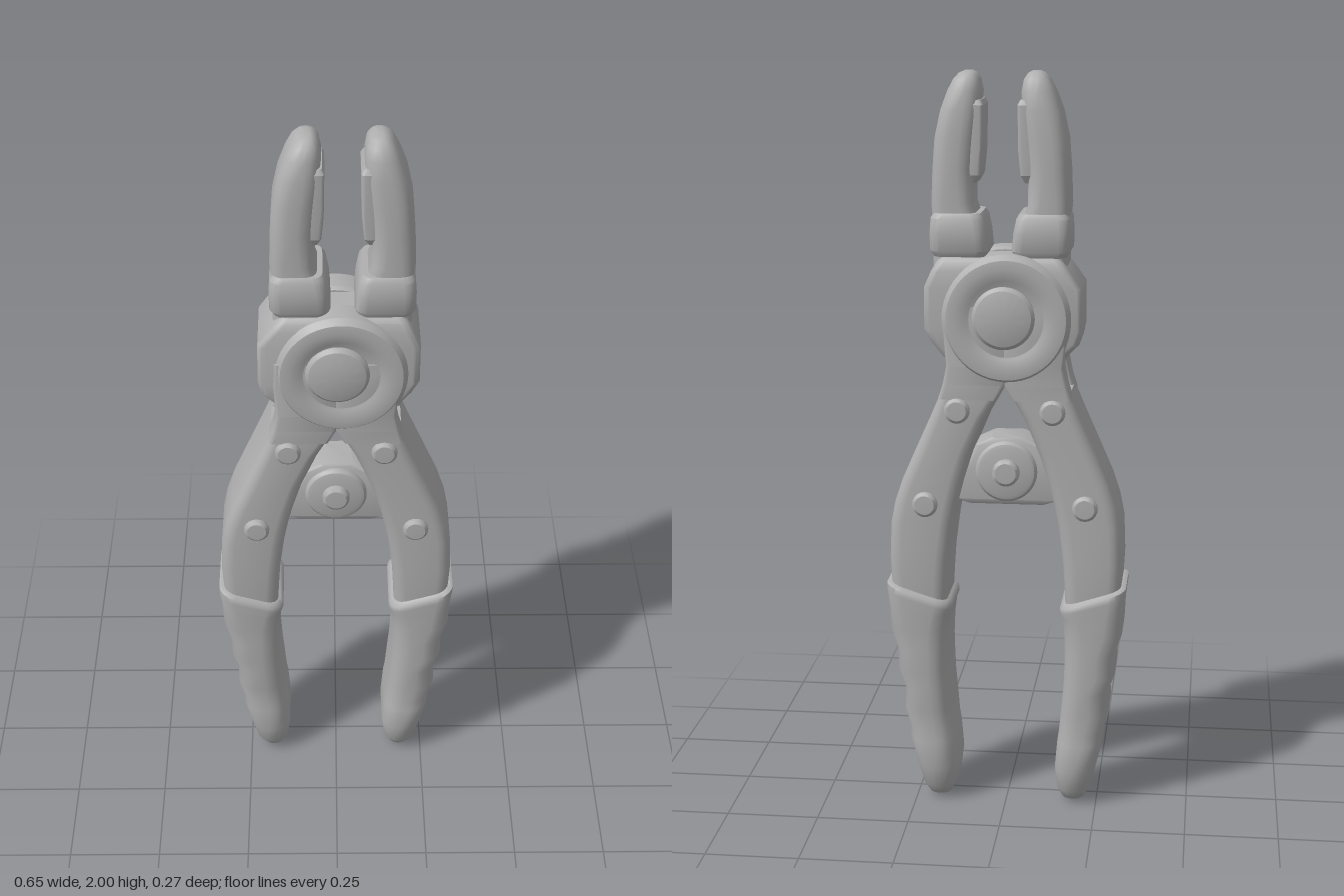
import * as THREE from 'three';
import { toCreasedNormals } from 'three/addons/utils/BufferGeometryUtils.js';

const steel = new THREE.MeshStandardMaterial({ color: 0xb0b0b0 });
steel.name = 'grey steel';

// Loft of rounded rectangles; each row is [y, xMin, xMax, halfDepth, cornerRadius, tilt]
function loft(rows, zMid = 0, crease = 0.6) {
  const pos = [], idx = [], steps = 4, n = 4 * (steps + 1);
  for (const [y, x0, x1, d, r, tilt = 0] of rows) {
    const cx = (x0 + x1) / 2, hx = (x1 - x0) / 2;
    const rad = Math.min(r, hx * 0.98, d * 0.98);
    for (let c = 0; c < 4; c++) {
      const sx = c === 0 || c === 3 ? 1 : -1, sz = c < 2 ? 1 : -1;
      for (let s = 0; s <= steps; s++) {
        const a = (c + s / steps) * Math.PI / 2;
        const dx = sx * (hx - rad) + Math.cos(a) * rad;
        pos.push(cx + dx, y + tilt * dx, zMid + sz * (d - rad) + Math.sin(a) * rad);
      }
    }
  }
  for (let k = 0; k < rows.length - 1; k++) for (let i = 0; i < n; i++) {
    const a = k * n + i, b = k * n + (i + 1) % n;
    idx.push(a, a + n, b, b, a + n, b + n);
  }
  const last = (rows.length - 1) * n;
  for (let i = 1; i < n - 1; i++) {
    idx.push(0, i, i + 1, last, last + i + 1, last + i);
  }
  const g = new THREE.BufferGeometry();
  g.setAttribute('position', new THREE.Float32BufferAttribute(pos, 3));
  g.setIndex(idx);
  return toCreasedNormals(g, crease);
}

// Reflects loft rows across the plane x = axis
const mirror = (rows, axis = 0) =>
  rows.map(([y, a, b, d, r, t = 0]) => [y, 2 * axis - b, 2 * axis - a, d, r, -t]);

// Turned part lying along z; profile is [radius, z] from back to front
function turned(profile, x, y, segments = 40) {
  const g = new THREE.LatheGeometry(profile.map(p => new THREE.Vector2(...p)), segments);
  g.rotateX(Math.PI / 2);
  const out = toCreasedNormals(g, 0.5);
  out.translate(x, y, 0);
  return out;
}
const symmetric = half => [...half.map(([r, z]) => [r, -z]), ...half.slice().reverse()];

const ARM = [
  [0.5, -0.305, -0.165, 0.1, 0.035], [0.62, -0.312, -0.16, 0.108, 0.035],
  [0.7, -0.316, -0.155, 0.11, 0.035], [0.8, -0.312, -0.142, 0.11, 0.035],
  [0.86, -0.3, -0.13, 0.11, 0.035], [0.92, -0.28, -0.115, 0.11, 0.035],
  [1.0, -0.245, -0.09, 0.11, 0.035], [1.1, -0.2, -0.048, 0.11, 0.03],
  [1.165, -0.172, -0.012, 0.11, 0.025],
];
// Cheeks either side of the slot, joining arm and hub
const CHEEK = [
  [1.15, -0.178, -0.02, 0.041, 0.012], [1.19, -0.165, 0.002, 0.041, 0.012],
  [1.24, -0.155, 0.01, 0.043, 0.012], [1.32, -0.162, 0.01, 0.043, 0.012],
  [1.4, -0.16, 0, 0.043, 0.012],
];
const GRIP = [
  [0, -0.2, -0.172, 0.05, 0.03], [0.012, -0.215, -0.156, 0.08, 0.035],
  [0.04, -0.232, -0.142, 0.1, 0.045], [0.1, -0.247, -0.135, 0.113, 0.05],
  [0.18, -0.266, -0.142, 0.117, 0.05], [0.21, -0.268, -0.146, 0.111, 0.05],
  [0.27, -0.282, -0.152, 0.12, 0.05], [0.33, -0.28, -0.157, 0.117, 0.05],
  [0.38, -0.298, -0.16, 0.122, 0.05], [0.44, -0.299, -0.161, 0.118, 0.05],
  [0.5, -0.317, -0.159, 0.122, 0.05], [0.555, -0.32, -0.154, 0.12, 0.045, -0.15],
  [0.585, -0.326, -0.148, 0.122, 0.045, -0.3], [0.6, -0.326, -0.148, 0.121, 0.045, -0.33],
  [0.608, -0.316, -0.156, 0.112, 0.04, -0.33],
];
const JAW = [
  [1.5, -0.16, -0.025, 0.085, 0.03], [1.6, -0.16, -0.035, 0.08, 0.03],
  [1.66, -0.166, -0.055, 0.08, 0.035], [1.75, -0.163, -0.055, 0.08, 0.04],
  [1.83, -0.157, -0.047, 0.079, 0.04], [1.9, -0.142, -0.038, 0.076, 0.04],
  [1.95, -0.124, -0.036, 0.07, 0.04], [1.98, -0.108, -0.042, 0.058, 0.03],
  [1.995, -0.094, -0.052, 0.042, 0.02], [2.0, -0.082, -0.062, 0.025, 0.01],
];
const COLLAR = [
  [1.525, -0.158, -0.022, 0.085, 0.025], [1.54, -0.168, -0.014, 0.093, 0.03],
  [1.585, -0.169, -0.018, 0.094, 0.03], [1.625, -0.166, -0.026, 0.092, 0.03],
  [1.638, -0.158, -0.034, 0.084, 0.028],
];
const PAD = [
  [1.715, -0.07, -0.046, 0.052, 0.008], [1.735, -0.075, -0.036, 0.062, 0.008],
  [1.8, -0.075, -0.03, 0.065, 0.008], [1.915, -0.07, -0.028, 0.065, 0.008],
  [1.928, -0.066, -0.034, 0.058, 0.008],
];

export function createModel() {
  const model = new THREE.Group();
  model.name = 'pliers';
  const add = (name, geometry) => {
    const mesh = new THREE.Mesh(geometry, steel);
    mesh.name = name;
    model.add(mesh);
  };

  // Arms, grips and jaws for both sides
  for (const side of ['right', 'left']) {
    const flip = (rows, axis) => side === 'left' ? mirror(rows, axis) : rows;
    const s = side === 'left' ? 1 : -1;
    add(side + 'Arm', loft(flip(ARM)));
    for (const z of [-1, 1]) {
      add(side + (z > 0 ? 'Front' : 'Back') + 'Cheek', loft(flip(CHEEK), z * 0.073));
    }
    add(side + 'Grip', loft(flip(GRIP), 0, 0.9));
    add(side + 'Jaw', loft(flip(JAW, 0.0165), 0, 0.8));
    add(side + 'Collar', loft(flip(COLLAR, 0.0165)));
    add(side + 'JawPad', loft(flip(PAD, 0.0165), 0, 0.4));

    // Rivets passing through the arm
    const rivet = symmetric([[0, 0.125], [0.026, 0.124], [0.034, 0.117], [0.036, 0.09]]);
    add(side + 'UpperRivet', turned(rivet, s * 0.127, 1.12, 20));
    add(side + 'LowerRivet', turned(rivet, s * 0.215, 0.86, 20));
  }

  // Hub block between the pivot discs
  add('hub', loft([
    [1.26, -0.155, 0.165, 0.1, 0.02], [1.3, -0.195, 0.195, 0.106, 0.02],
    [1.335, -0.202, 0.215, 0.107, 0.02], [1.445, -0.2, 0.215, 0.107, 0.02],
    [1.49, -0.168, 0.195, 0.106, 0.02], [1.515, -0.15, 0.18, 0.1, 0.02],
    [1.525, -0.14, 0.17, 0.09, 0.02],
  ]));

  // Dished pivot discs, front and back, with the slot left clear between them
  const disc = [[0.12, 0.035], [0.165, 0.035], [0.172, 0.045], [0.172, 0.105],
    [0.158, 0.122], [0.135, 0.125], [0.105, 0.119], [0.09, 0.112], [0, 0.112]];
  add('frontPivotDisc', turned(disc, 0.014, 1.365, 48));
  add('backPivotDisc', turned(disc.map(([r, z]) => [r, -z]).reverse(), -0.004, 1.365, 48));
  add('pivotButton', turned(symmetric(
    [[0, 0.134], [0.05, 0.132], [0.074, 0.126], [0.083, 0.117], [0.084, 0.1]]), 0.003, 1.37));

  // Spring plate and hinge knuckle between the arms
  add('springPlate', loft([
    [0.852, -0.105, 0.105, 0.055, 0.012], [0.865, -0.14, 0.14, 0.06, 0.012],
    [0.94, -0.12, 0.12, 0.06, 0.012], [1.015, -0.085, 0.085, 0.06, 0.012],
    [1.035, -0.045, 0.045, 0.055, 0.012],
  ]));
  add('hingeKnuckle', turned(symmetric(
    [[0, 0.075], [0.066, 0.075], [0.076, 0.072], [0.083, 0.064], [0.083, 0.05]]), 0, 0.945));
  add('hingePin', turned(symmetric(
    [[0, 0.094], [0.028, 0.093], [0.036, 0.087], [0.038, 0.06]]), 0, 0.945, 24));

  return model;
}
